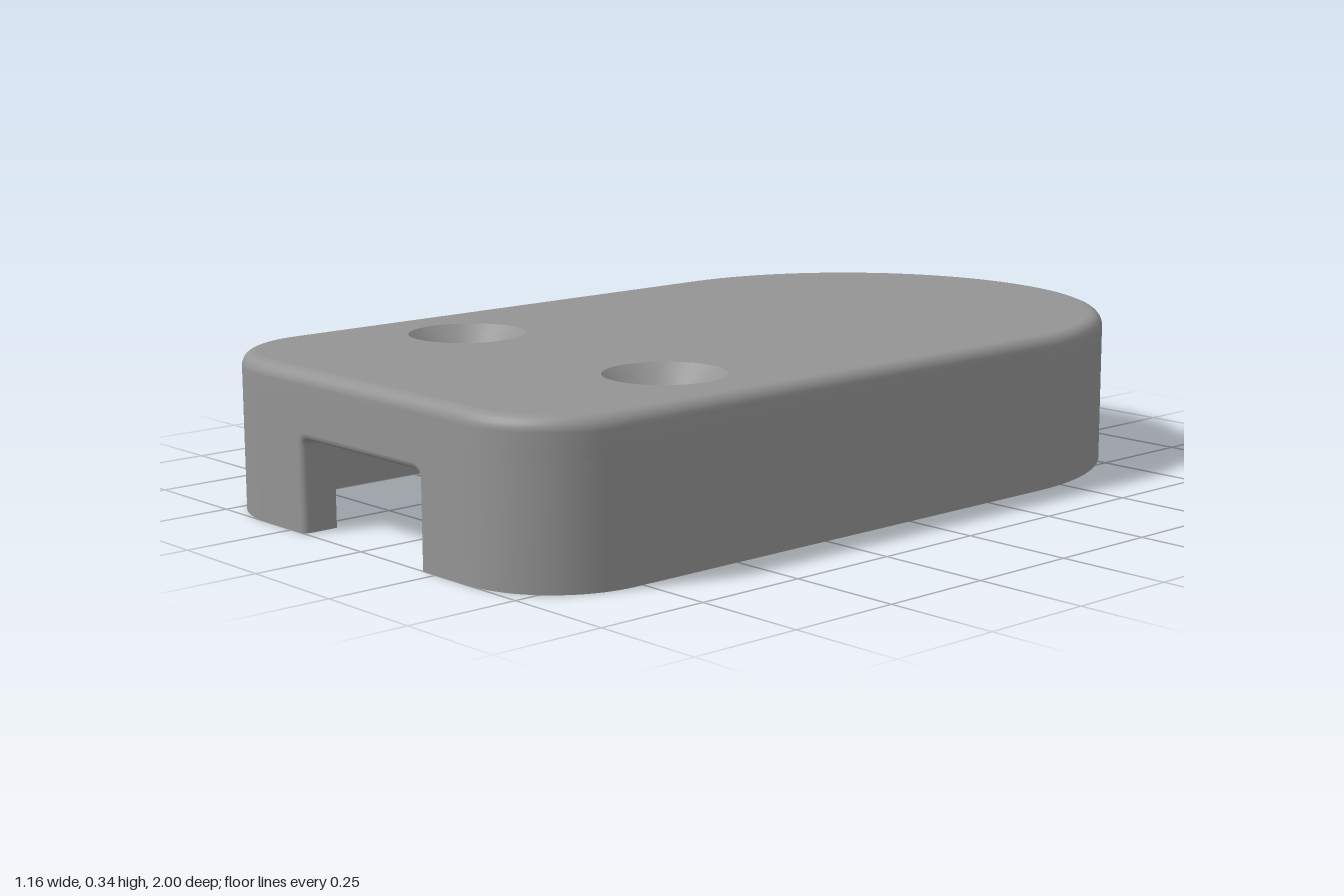
import * as THREE from 'three';

const W = 0.58, H = 0.345, CEIL = 0.265, WALL = 0.08, FILLET = 0.03, PANEL = 0.26;
const CORNER = 0.23, CX = W - CORNER, HOLE_X = 0.33, HOLE_Z = 0.47;
const SINK_R = 0.13, HOLE_R = 0.065, NOTCH = 0.2, NOTCH_R = 0.014;

// points of an arc in the plan or elevation plane
function arc(cx, cy, r, a0, a1, n) {
  return Array.from({ length: n + 1 }, (_, i) => {
    const a = a0 + (a1 - a0) * i / n;
    return [cx + r * Math.cos(a), cy + r * Math.sin(a)];
  });
}

// plan outline (x, z) inset by d, from the front left corner round the back to the front right
function outline(d) {
  const q = Math.PI / 2, r = CORNER - d;
  return [
    ...arc(CX, 1 - CORNER, r, q, 0, 16),
    ...arc(0, W - 1, W - d, 0, -Math.PI, 64),
    ...arc(-CX, 1 - CORNER, r, Math.PI, q, 16),
  ];
}

// notch edge (x, y) widened by d, from left foot over the top to right foot
function notchEdge(d) {
  const c = NOTCH - 0.015, r = 0.015 + d;
  return [[NOTCH + d, 0], ...arc(c, c, r, 0, Math.PI / 2, 6),
    ...arc(-c, c, r, Math.PI / 2, Math.PI, 6), [-NOTCH - d, 0]];
}

// smooth skin through rows of 3D points
function loft(rows, closed) {
  const n = rows[0].length, index = [];
  for (let i = 0; i < rows.length - 1; i++) {
    for (let j = 0; j < (closed ? n : n - 1); j++) {
      const k = (j + 1) % n, a = i * n + j, b = i * n + k;
      index.push(a, b, b + n, a, b + n, a + n);
    }
  }
  const g = new THREE.BufferGeometry();
  g.setAttribute('position', new THREE.Float32BufferAttribute(rows.flat(2), 3));
  g.setIndex(index);
  g.computeVertexNormals();
  return g;
}

const ring = (d, y) => outline(d).map(([x, z]) => [x, y, z]);
const toShape = (pts) => new THREE.Shape(pts.map(([x, y]) => new THREE.Vector2(x, y)));

// horizontal face from plan points, with optional round holes
function flat(pts, y, up, holeR) {
  const s = up ? -1 : 1;
  const shape = toShape(pts.map(([x, z]) => [x, s * z]));
  if (holeR) {
    for (const side of [-1, 1]) {
      const hole = new THREE.Path();
      hole.absarc(side * HOLE_X, s * HOLE_Z, holeR, 0, Math.PI * 2, true);
      shape.holes.push(hole);
    }
  }
  return new THREE.ShapeGeometry(shape, 24).rotateX(s * Math.PI / 2).translate(0, y, 0);
}

// upright front wall face with the notch cut out
function panel(height, widen) {
  return new THREE.ShapeGeometry(toShape([
    [CX, 0], [CX, height], [-CX, height], [-CX, 0], ...notchEdge(widen).reverse(),
  ]));
}

export function createModel() {
  const group = new THREE.Group();
  const grey = new THREE.MeshStandardMaterial({ color: 0x949494, side: THREE.DoubleSide });
  grey.name = 'grey';
  const add = (name, geometry) => {
    const mesh = new THREE.Mesh(geometry, grey);
    mesh.name = name;
    group.add(mesh);
    return mesh;
  };

  // outer wall and its rounded top edge
  add('outerWall', loft([ring(0, 0), ring(0, PANEL)], false));
  const rows = [ring(0, PANEL)];
  for (let i = 0; i <= 6; i++) {
    const a = i / 6 * Math.PI / 2;
    rows.push(ring(FILLET * (1 - Math.cos(a)), H - FILLET + FILLET * Math.sin(a)));
  }
  add('roundedTopEdge', loft(rows, true));
  add('topFace', flat(outline(FILLET), H, true, SINK_R));

  // hollow inside
  add('innerWall', loft([ring(WALL, CEIL), ring(WALL, 0)], false));
  add('ceiling', flat(outline(WALL), CEIL, false, HOLE_R));

  // front wall faces
  add('frontFace', panel(PANEL, NOTCH_R).translate(0, 0, 1));
  add('frontInnerFace', panel(CEIL, 0).rotateY(Math.PI).translate(0, 0, 1 - WALL));

  // notch lining with a rounded outer edge
  const lip = arc(1 - NOTCH_R, NOTCH_R, NOTCH_R, 0, -Math.PI / 2, 4);
  const lining = [...lip, [1 - NOTCH_R - 0.005, 0], [1 - WALL, 0]];
  add('notchLining', loft(lining.map(([z, d]) => notchEdge(d).map(([x, y]) => [x, y, z])), false));

  // bottom rim, open at the notch
  const side = lining.map(([z, d]) => [NOTCH + d, z]);
  add('bottomRim', flat([
    ...outline(0), ...side.map(([x, z]) => [-x, z]),
    ...outline(WALL).reverse(), ...[...side].reverse(),
  ], 0, false));

  // countersunk screw holes
  const neck = H - (SINK_R - HOLE_R);
  const lathe = (pts) => new THREE.LatheGeometry(pts.map(([r, y]) => new THREE.Vector2(r, y)), 48);
  for (const s of [-1, 1]) {
    add('countersink', lathe([[SINK_R, H], [HOLE_R, neck]])).position.set(s * HOLE_X, 0, HOLE_Z);
    add('screwHole', lathe([[HOLE_R, neck], [HOLE_R, CEIL]])).position.set(s * HOLE_X, 0, HOLE_Z);
  }
  return group;
}
